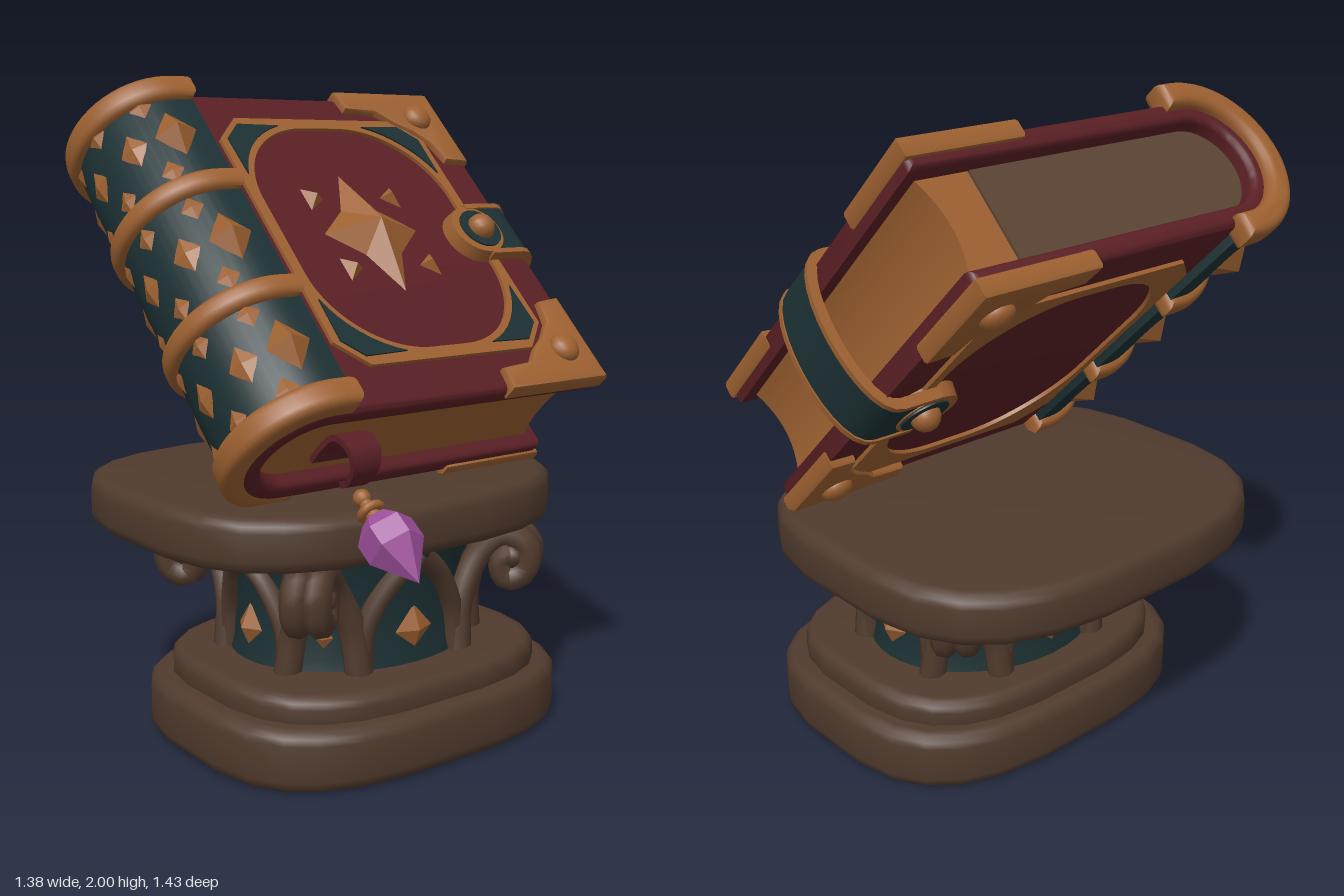
import * as THREE from 'three';
import { toCreasedNormals } from 'three/addons/utils/BufferGeometryUtils.js';

const mat = (name, color) => Object.assign(new THREE.MeshStandardMaterial({ color }), { name });

export function createModel() {
  const red = mat('red leather', 0x591f24), gold = mat('gold', 0x9c6030), teal = mat('dark teal', 0x1c3033);
  const stone = mat('brown stone', 0x503a2d), paper = mat('aged paper', 0x5a4434), violet = mat('violet crystal', 0x9c4f9a);

  const add = (parent, name, geo, material, x = 0, y = 0, z = 0) => {
    const m = new THREE.Mesh(geo, material);
    m.name = name;
    m.position.set(x, y, z);
    parent.add(m);
    return m;
  };
  const group = (parent, name, x = 0, y = 0, z = 0) => {
    const g = new THREE.Group();
    g.name = name;
    g.position.set(x, y, z);
    parent.add(g);
    return g;
  };
  // Extrusion of total thickness h starting at z = 0, bevel kept inside the outline
  const extrude = (shape, h, b = 0, seg = 2) => {
    const g = new THREE.ExtrudeGeometry(shape, {
      depth: h - 2 * b, bevelEnabled: b > 0, bevelSize: b, bevelThickness: b, bevelOffset: -b, bevelSegments: seg, curveSegments: 14,
    });
    g.translate(0, 0, b);
    return toCreasedNormals(g, 0.7);
  };
  // Same, but standing upright along y, starting at y0
  const upright = (shape, y0, h, b, seg) => extrude(shape, h, b, seg).rotateX(-Math.PI / 2).translate(0, y0, 0);
  const poly = (pts) => new THREE.Shape(pts.map(([x, y]) => new THREE.Vector2(x, y)));
  // Faceted stud rising from an outline to a point
  const pyramid = (pts, h) => {
    const a = [];
    pts.forEach((p, i) => a.push(...p, 0, ...pts[(i + 1) % pts.length], 0, 0, 0, h));
    const g = new THREE.BufferGeometry();
    g.setAttribute('position', new THREE.Float32BufferAttribute(a, 3));
    g.computeVertexNormals();
    return g;
  };
  const diamond = (w, h, d) => pyramid([[w, 0], [0, h], [-w, 0], [0, -h]], d);
  const tube = (pts, r) => new THREE.TubeGeometry(new THREE.CatmullRomCurve3(pts), 36, r, 8);

  const model = new THREE.Group();
  model.name = 'bookOnPedestal';

  // ---- Pedestal: worn, rounded-off slabs ----
  const pedestal = group(model, 'pedestal');
  const slab = (a, b, n) => {
    const round = (v) => Math.sign(v) * Math.abs(v) ** (2 / n);
    return poly(Array.from({ length: 24 }, (_, i) => {
      const t = (i + 0.5) * Math.PI / 12;
      return [a * round(Math.cos(t)), b * round(Math.sin(t))];
    }));
  };
  add(pedestal, 'base', upright(slab(0.618, 0.502, 3), 0, 0.185, 0.04, 3), stone, 0, 0, 0.05);
  add(pedestal, 'baseStep', upright(slab(0.55, 0.45, 3), 0.15, 0.11, 0.035, 3), stone, 0, 0, 0.05);
  add(pedestal, 'topSlab', upright(slab(0.695, 0.595, 3), 0.62, 0.16, 0.04, 3), stone, 0, 0, -0.12);

  // ---- Column with arches, scrolls and studs ----
  const column = group(pedestal, 'column', 0, 0, 0.025);
  column.scale.z = 0.84;
  const profile = [[0.4, 0.24], [0.385, 0.3], [0.375, 0.42], [0.395, 0.54], [0.43, 0.64]];
  add(column, 'columnCore', new THREE.LatheGeometry(profile.map(([x, y]) => new THREE.Vector2(x, y)), 40), teal);
  const onColumn = (deg, y, r) => {
    const t = deg * Math.PI / 180;
    return new THREE.Vector3(Math.sin(t) * r, y, Math.cos(t) * r);
  };
  const scroll = [[0.39, 0.25, 0.115], [0.39, 0.4, 0.09], [0.44, 0.53, 0.045], [0.53, 0.6, 0.035], [0.61, 0.56, 0.035],
    [0.6, 0.48, 0.035], [0.54, 0.46, 0.035], [0.52, 0.52, 0.035], [0.56, 0.54, 0.035]];
  for (let i = 0; i < 4; i++) {
    const side = group(column, 'columnSide');
    side.rotation.y = i * Math.PI / 2;
    const arch = [[-27, 0.25], [-26, 0.38], [-15, 0.51], [0, 0.6], [15, 0.51], [26, 0.38], [27, 0.25]];
    for (const half of [arch.slice(0, 4), arch.slice(3)])
      add(side, 'arch', tube(half.map(([a, y]) => onColumn(a, y, y > 0.55 ? 0.41 : 0.39)), 0.036), stone);
    add(side, 'panelStud', diamond(0.07, 0.075, 0.035), gold, 0, 0.36, 0.375);
    const corner = group(column, 'columnCorner');
    corner.rotation.y = Math.PI / 4 + i * Math.PI / 2;
    for (const s of [-1, 1])
      add(corner, 'scroll', tube(scroll.map(([r, y, o]) => new THREE.Vector3(s * o, y, r)), 0.045), stone);
    add(corner, 'scrollEye', new THREE.SphereGeometry(0.05, 12, 8).scale(1.7, 1, 1), stone, 0, 0.53, 0.56);
    add(corner, 'cornerStud', diamond(0.03, 0.035, 0.02), gold, 0, 0.36, 0.38);
  }

  // ---- Book, leaning back 45 degrees; local y runs up the cover, z out of it ----
  const book = group(model, 'book', 0, 1.365, -0.078);
  book.rotation.x = -Math.PI / 4;
  const C = -0.39;
  // U outline open towards +x, wrapping the rounded spine
  const uShape = (xEnd, r, t) => {
    const s = new THREE.Shape();
    s.moveTo(xEnd, r);
    s.lineTo(C, r);
    s.absarc(C, 0, r, Math.PI / 2, Math.PI * 1.5, false);
    s.lineTo(xEnd, -r);
    s.lineTo(xEnd, t - r);
    s.lineTo(C, t - r);
    s.absarc(C, 0, r - t, Math.PI * 1.5, Math.PI / 2, true);
    s.lineTo(xEnd, r - t);
    return s;
  };
  const pageShape = (xEnd, r, dip) => {
    const s = new THREE.Shape();
    s.moveTo(xEnd, -r);
    s.quadraticCurveTo(xEnd - dip, 0, xEnd, r);
    s.lineTo(C, r);
    s.absarc(C, 0, r, Math.PI / 2, Math.PI * 1.5, false);
    return s;
  };
  add(book, 'cover', upright(uShape(0.615, 0.21, 0.065), -0.61, 1.22, 0.02, 3), red);
  add(book, 'pages', upright(pageShape(0.575, 0.148, 0.07), -0.56, 1.11), gold);
  add(book, 'pageTop', upright(pageShape(0.4, 0.143, 0), 0.55, 0.008), paper);
  add(book, 'spine', upright(uShape(-0.345, 0.236, 0.04), -0.6, 1.22, 0.01), teal);
  [-0.565, -0.19, 0.22, 0.6].forEach((v, i) => {
    const h = i % 3 ? 0.075 : 0.09;
    add(book, 'spineRing', upright(uShape(-0.335, 0.262, i % 3 ? 0.06 : 0.08), v - h / 2, h, 0.025, 3), gold);
  });
  // Studs along the front and back of the spine, flat leaf flecks around it
  const onSpine = (name, deg, v, geo) => {
    const t = deg * Math.PI / 180;
    add(book, name, geo, gold, C - Math.sin(t) * 0.234, v, Math.cos(t) * 0.234).rotation.y = -t;
  };
  for (const v of [-0.38, 0.015, 0.42]) {
    for (const deg of [17, 163]) onSpine('spineStud', deg, v, diamond(0.065, 0.09, 0.05));
    for (const deg of [50, 90, 130]) {
      onSpine('spineFleck', deg, v, diamond(0.045, 0.07, 0.015));
      for (const s of [-1, 1]) onSpine('spineLeaf', deg - 18, v + s * 0.13, diamond(0.035, 0.05, 0.012));
    }
  }

  // ---- Ornaments of both covers ----
  for (const back of [false, true]) {
    const face = group(book, back ? 'backOrnaments' : 'frontOrnaments');
    face.rotation.x = back ? Math.PI : 0;
    // Gold frame with a rounded opening
    const frame = group(face, 'frame', 0.09, 0.01, 0.208);
    const R = 0.3, hx = 0.065, hy = 0.145, a = 0.4, b = 0.485, c = 0.09;
    const outline = poly([[a, c - b], [a, b - c], [a - c, b], [c - a, b], [-a, b - c], [-a, c - b], [c - a, -b], [a - c, -b]]);
    const hole = new THREE.Path();
    [[1, 1], [-1, 1], [-1, -1], [1, -1]].forEach(([sx, sy], i) =>
      hole.absarc(sx * hx, sy * hy, R, i * Math.PI / 2, (i + 1) * Math.PI / 2, false));
    outline.holes.push(hole);
    add(frame, 'frameBand', extrude(outline, 0.014), gold);
    const clasp = group(face, 'clasp', 0.445, back ? 0.02 : -0.02, 0.228);
    if (!back) {
      // Teal corner inlays
      for (const sx of [-1, 1]) for (const sy of [-1, 1]) {
        const pts = [[0.375, 0.395], [0.315, 0.455]];
        for (let i = 0; i <= 8; i++) {
          const t = (72 - i * 54 / 8) * Math.PI / 180;
          pts.push([hx + 0.322 * Math.cos(t), hy + 0.322 * Math.sin(t)]);
        }
        add(frame, 'cornerInlay', extrude(poly(pts.map(([x, y]) => [x * sx, y * sy])), 0.006), teal, 0, 0, 0.013);
      }
      // Four-pointed star and its small satellites
      const star = [];
      for (let i = 0; i < 4; i++) {
        const co = Math.round(Math.cos(i * Math.PI / 2)), si = Math.round(Math.sin(i * Math.PI / 2));
        star.push([co * 0.18, si * 0.24], [(co - si) * 0.07, (si + co) * 0.09]);
      }
      add(face, 'star', pyramid(star, 0.07), gold, 0.06, 0.02, 0.209);
      for (const sx of [-1, 1]) for (const sy of [-1, 1]) {
        const tri = [[0.03 * sx, 0.045 * sy], [-0.035 * sx, 0], [0.03 * sx, -0.045 * sy]];
        if (sx * sy < 0) tri.reverse();
        add(face, 'starlet', pyramid(tri, 0.03), gold, 0.06 + sx * 0.145, 0.02 + sy * 0.14, 0.209);
      }
    }
    // Metal corner caps with round rivets
    for (const s of [-1, 1]) {
      const cap = [[0.62, 0.62], [0.22, 0.62], [0.23, 0.54], [0.35, 0.53], [0.4, 0.48], [0.46, 0.44], [0.51, 0.39], [0.53, 0.31], [0.62, 0.3]];
      add(face, 'cornerCap', extrude(poly(cap.map(([x, y]) => [x, y * s])), 0.062, 0.012), gold, 0, 0, 0.173);
      add(face, 'cornerRivet', new THREE.SphereGeometry(0.05, 16, 10).scale(1, 1, 0.7), gold, 0.51, s * 0.5, 0.235);
    }
    // Round end of the clasp
    add(clasp, 'claspEnd', new THREE.CylinderGeometry(0.095, 0.105, 0.05, 24).rotateX(Math.PI / 2), gold);
    add(clasp, 'claspInset', new THREE.CylinderGeometry(0.075, 0.075, 0.008, 24).rotateX(Math.PI / 2), teal, 0.01, 0, 0.026);
    add(clasp, 'claspRivet', new THREE.SphereGeometry(0.045, 16, 10), gold, 0.01, 0, 0.03);
  }

  // ---- Clasp strap around the open edge ----
  const strapShape = (g) => {
    const s = new THREE.Shape(), o = 0.25 + g, n = 0.222;
    s.moveTo(0.45, o);
    s.lineTo(0.58, o);
    s.bezierCurveTo(0.72 + g, o, 0.72 + g, -o, 0.58, -o);
    s.lineTo(0.45, -o);
    s.lineTo(0.45, -n);
    s.lineTo(0.58, -n);
    s.bezierCurveTo(0.685, -n, 0.685, n, 0.58, n);
    s.lineTo(0.45, n);
    return s;
  };
  add(book, 'strap', upright(strapShape(0), -0.11, 0.18), teal);
  for (const v of [-0.125, 0.067]) add(book, 'strapEdge', upright(strapShape(0.006), v, 0.018), gold);

  // ---- Bookmark ribbon with a crystal charm ----
  const bookmark = group(model, 'bookmark', -0.31, 0, 0);
  const path = new THREE.CatmullRomCurve3([[0.92, 0.33], [0.96, 0.37], [1.0, 0.43], [0.97, 0.49], [0.92, 0.495], [0.875, 0.46], [0.86, 0.41]]
    .map(([y, z]) => new THREE.Vector3(0, y, z)));
  const ribbon = new THREE.BoxGeometry(1, 1, 0.018, 2, 36, 1), rp = ribbon.attributes.position;
  for (let i = 0; i < rp.count; i++) {
    const t = 0.5 - rp.getY(i), p = path.getPoint(t), d = path.getTangent(t), off = rp.getZ(i);
    rp.setXYZ(i, rp.getX(i) * (0.125 - 0.08 * t * t), p.y + d.z * off, p.z - d.y * off);
  }
  ribbon.computeVertexNormals();
  add(bookmark, 'ribbon', ribbon, red);
  const charm = group(bookmark, 'charm', 0.01, 0.725, 0.61);
  charm.rotation.x = -0.93;
  const gem = [[0, -0.13], [0.084, -0.015], [0.084, 0.05], [0.045, 0.095], [0, 0.1]].map(([x, y]) => new THREE.Vector2(x, y));
  const gemGeo = new THREE.LatheGeometry(gem, 6).toNonIndexed();
  gemGeo.computeVertexNormals();
  add(charm, 'crystal', gemGeo, violet);
  add(charm, 'charmCap', new THREE.CylinderGeometry(0.016, 0.025, 0.09, 12), gold, 0, 0.13, 0);
  add(charm, 'charmRing', new THREE.TorusGeometry(0.03, 0.013, 8, 16).rotateX(Math.PI / 2), gold, 0, 0.125, 0);
  add(charm, 'charmBead', new THREE.SphereGeometry(0.026, 12, 8), gold, 0, 0.175, 0);
  return model;
}
